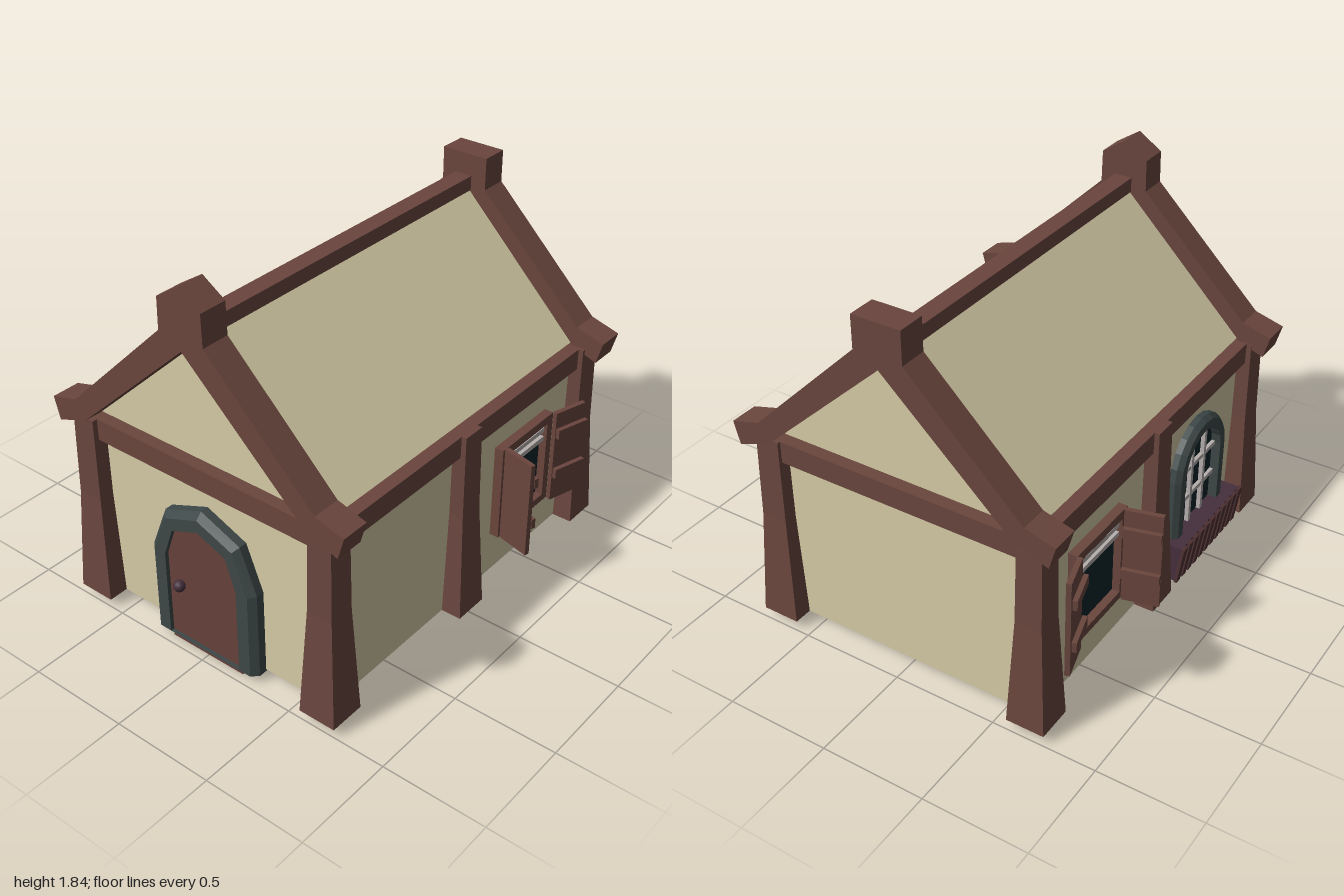
import * as THREE from 'three';

const mat = (name, color, side = THREE.FrontSide) => {
  const m = new THREE.MeshStandardMaterial({ color, side });
  m.name = name;
  return m;
};
const plaster = mat('plaster', 0xd6cca6, THREE.DoubleSide);
const timber = mat('timber', 0x6a463e, THREE.DoubleSide);
const doorWood = mat('doorWood', 0x67413a);
const stone = mat('stone', 0x3d4747, THREE.DoubleSide);
const glass = mat('glass', 0x0d2629);
const pale = mat('paleBars', 0xb5b0ae);
const plum = mat('plum', 0x45303d);
const slatWood = mat('slatWood', 0x4f3133);

function add(parent, name, geo, material, x = 0, y = 0, z = 0) {
  const m = new THREE.Mesh(geo, material);
  m.name = name;
  m.position.set(x, y, z);
  parent.add(m);
  return m;
}
// box given by its minimum and maximum corners
const span = (p, name, m, x0, x1, y0, y1, z0, z1) =>
  add(p, name, new THREE.BoxGeometry(Math.abs(x1 - x0), y1 - y0, Math.abs(z1 - z0)), m,
    (x0 + x1) / 2, (y0 + y1) / 2, (z0 + z1) / 2);

const shapeOf = pts => new THREE.Shape(pts.map(p => new THREE.Vector2(p[0], p[1])));
const extrude = (pts, depth) =>
  new THREE.ExtrudeGeometry(shapeOf(pts), { depth, bevelEnabled: false });

// faceted skin between rows of points
function loft(rows, closed) {
  const v = [];
  for (let i = 0; i < rows.length - 1; i++) {
    const n = rows[i].length;
    for (let j = 0; j < (closed ? n : n - 1); j++) {
      const k = (j + 1) % n;
      const [a, b, c, d] = [rows[i][j], rows[i][k], rows[i + 1][k], rows[i + 1][j]];
      v.push(...a, ...b, ...c, ...a, ...c, ...d);
    }
  }
  const g = new THREE.BufferGeometry();
  g.setAttribute('position', new THREE.Float32BufferAttribute(v, 3));
  g.computeVertexNormals();
  return g;
}
const rect = (hx, hz, y) => [[-hx, y, hz], [hx, y, hz], [hx, y, -hz], [-hx, y, -hz]];
const atZ = (pts, z) => pts.map(p => [p[0], p[1], z]);

// stepped arch surround from outer, middle and inner outlines
const archFrame = (outer, mid, inner, z1, z2) => loft([
  atZ(outer, 0), atZ(outer, z1), atZ(mid, z2), atZ(inner, z2), atZ(inner, 0)], true);

function shutter(parent, s, x0, z0, x1, z1, inner) {
  const g = new THREE.Group();
  g.name = 'shutter';
  const dx = (x1 - x0) * s, dz = z1 - z0, len = Math.hypot(dx, dz);
  g.position.set(s * (x0 + x1) / 2, 0, (z0 + z1) / 2);
  g.rotation.y = Math.atan2(-dz, dx);
  const side = inner * s;
  add(g, 'shutterPanel', new THREE.BoxGeometry(len, 0.485, 0.024), timber, 0, 0.503, -side * 0.014);
  for (const y of [0.64, 0.42])
    add(g, 'shutterBatten', new THREE.BoxGeometry(len, 0.05, 0.022), timber, 0, y, side * 0.013);
  parent.add(g);
}

function sideWindow(parent, s) {
  const g = new THREE.Group();
  g.name = 'shutteredWindow';
  const a = s * 0.63, b = s * 0.695;
  span(g, 'windowSill', timber, a, b, 0.265, 0.302, -0.66, -0.25);
  span(g, 'windowHead', timber, a, b, 0.7, 0.743, -0.66, -0.25);
  for (const z of [-0.66, -0.292])
    span(g, 'windowJamb', timber, a, b, 0.302, 0.7, z, z + 0.042);
  span(g, 'windowPane', glass, s * 0.65, s * 0.657, 0.3, 0.702, -0.62, -0.285);
  for (const y of [0.615, 0.663])
    span(g, 'blindSlat', pale, s * 0.657, s * 0.68, y - 0.012, y + 0.012, -0.618, -0.29);
  shutter(g, s, 0.7, -0.29, 0.867, -0.247, -1);
  shutter(g, s, 0.72, -0.655, 0.77, -0.825, 1);
  parent.add(g);
}

export function createModel() {
  const house = new THREE.Group();
  house.name = 'cottage';

  // walls, gables and roof slopes
  add(house, 'walls', loft([rect(0.65, 0.905, 0.05), rect(0.65, 0.905, 0.94)], true), plaster);
  for (const z of [0.905, -0.905])
    add(house, 'gable', new THREE.ShapeGeometry(shapeOf([[-0.625, 1.004], [0.625, 1.004], [0, 1.61]])), plaster, 0, 0, z);
  for (const s of [1, -1])
    add(house, 'roofSlope', loft([
      [[0, 1.635, 0.9], [0, 1.635, -0.9]],
      [[s * 0.638, 1.002, 0.9], [s * 0.638, 1.002, -0.9]]]), plaster);
  span(house, 'ridgeBeam', timber, -0.044, 0.044, 1.6, 1.67, -0.9, 0.9);

  // flared posts, open underneath
  for (const s of [1, -1])
    for (const z of [0.917, 0.025, -0.908])
      add(house, 'post', loft([
        rect(0.092, 0.088, 0.05), rect(0.064, 0.063, 0.58),
        rect(0.059, 0.058, 0.99), rect(0.001, 0.001, 0.99)], true), timber, s * 0.657, 0, z);

  // wall beams
  for (const s of [1, -1]) {
    span(house, 'sideBeam', timber, s * 0.61, s * 0.692, 0.885, 0.99, -0.9, 0.9);
    span(house, 'endBeam', timber, -0.64, 0.64, 0.885, 0.99, s * 0.865, s * 0.95);
  }

  // gable rafters with upturned tails and a block at the peak
  const half = [[0.772, 0.943], [0.802, 1.05], [0.66, 1.09], [0.118, 1.62]];
  const rafter = peak => {
    const right = [...half, ...peak];
    const left = right.filter(p => p[0] > 0).map(([x, y]) => [-x, y]).reverse();
    return [[0.612, 1.0], ...right, ...left, [-0.612, 1.0], [0, 1.565]];
  };
  add(house, 'frontRafters', extrude(rafter([[0.115, 1.77], [0, 1.845]]), 0.138), timber, -0.003, 0, 0.862);
  add(house, 'backRafters', extrude(rafter([[0.118, 1.775]]), 0.135), timber, 0.004, 0, -1);

  // front door with a faceted stone surround
  const door = new THREE.Group();
  door.name = 'door';
  door.position.set(-0.006, 0, 0.9);
  const arch = (w, y0, spring, w2, y2, top) =>
    [[w, y0], [w, spring], [w2, y2], [0, top], [-w2, y2], [-w, spring], [-w, y0]];
  const doorway = arch(0.205, 0.04, 0.47, 0.152, 0.62, 0.68);
  add(door, 'doorSurround', archFrame(
    arch(0.298, 0.04, 0.475, 0.212, 0.69, 0.775),
    arch(0.268, 0.04, 0.468, 0.192, 0.668, 0.742), doorway, 0.045, 0.075), stone);
  add(door, 'doorLeaf', extrude(arch(0.206, 0.003, 0.47, 0.152, 0.618, 0.674), 0.055), doorWood);
  add(door, 'doorKnob', new THREE.SphereGeometry(0.028, 12, 8), plum, -0.13, 0.333, 0.075);
  house.add(door);

  // shuttered windows on both sides
  for (const s of [1, -1]) sideWindow(house, s);

  // round-headed window on the right side
  const win = new THREE.Group();
  win.name = 'archedWindow';
  win.position.set(-0.645, 0, 0.455);
  win.rotation.y = -Math.PI / 2;
  const round = r => {
    const p = [[r, 0.24]];
    for (let i = 0; i <= 10; i++) {
      const t = i / 10 * Math.PI;
      p.push([r * Math.cos(t), 0.56 + r * Math.sin(t)]);
    }
    return [...p, [-r, 0.24]];
  };
  add(win, 'archSurround', archFrame(round(0.235), round(0.215), round(0.172), 0.035, 0.06), stone);
  add(win, 'archPane', new THREE.ShapeGeometry(shapeOf(round(0.18))), glass, 0, 0, 0.015);
  for (const x of [-0.06, 0.06])
    span(win, 'uprightBar', pale, x - 0.011, x + 0.011, 0.25, 0.72, 0.012, 0.035);
  for (const y of [0.4, 0.56])
    span(win, 'crossBar', pale, -0.175, 0.175, y - 0.011, y + 0.011, 0.012, 0.032);
  house.add(win);

  // flower box with sloping slats
  const box = new THREE.Group();
  box.name = 'flowerBox';
  add(box, 'flowerBoxBody', extrude([[-0.63, 0.055], [-0.63, 0.25], [-0.755, 0.25], [-0.725, 0.055]], 0.59),
    plum, 0, 0, 0.18);
  for (let i = 0; i < 11; i++) {
    const slat = add(box, 'flowerBoxSlat', new THREE.BoxGeometry(0.016, 0.205, 0.036), slatWood,
      -0.75, 0.152, 0.192 + i * 0.0566);
    slat.rotation.z = 0.15;
  }
  house.add(box);

  return house;
}
